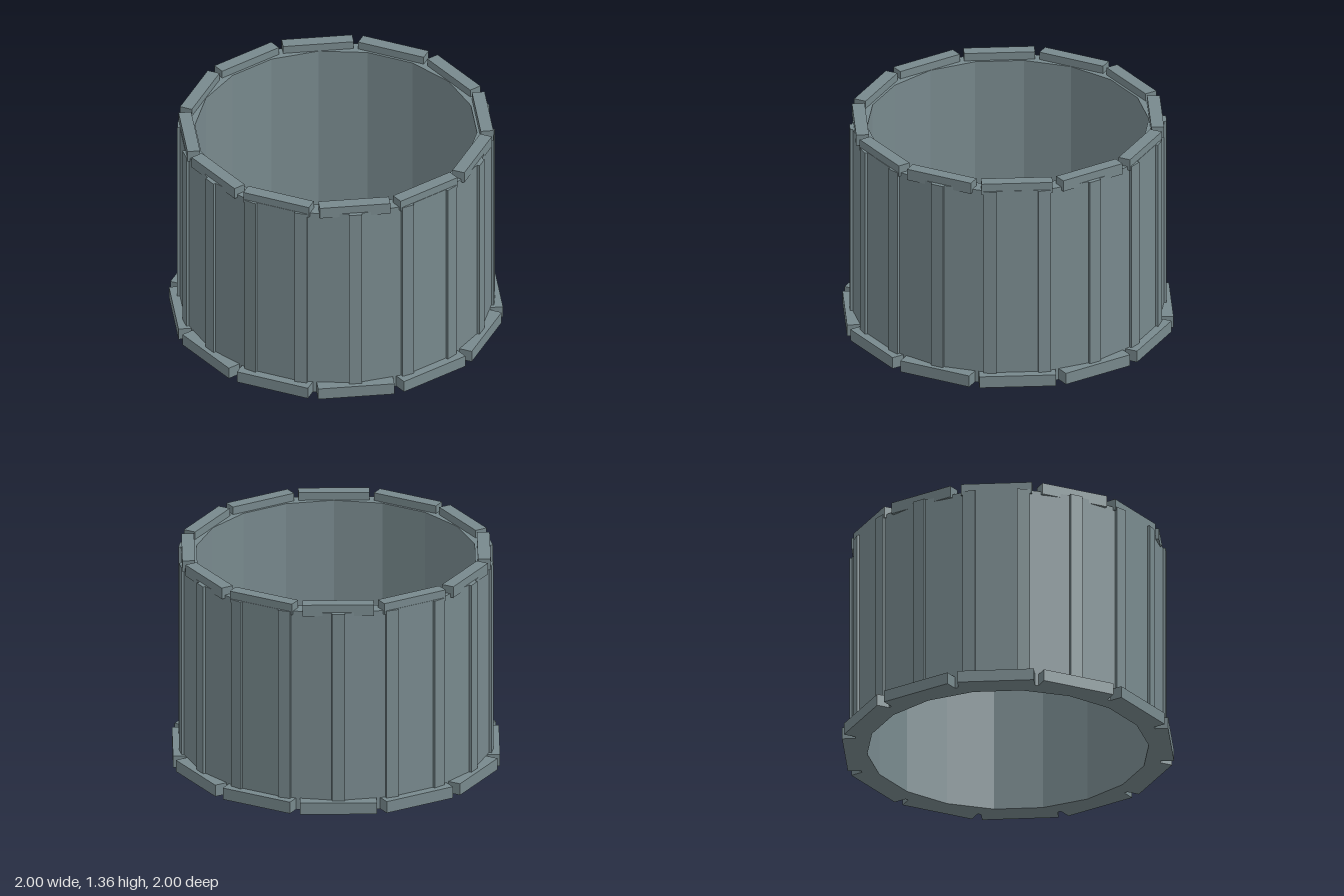
import * as THREE from 'three';

export function createModel() {
  const model = new THREE.Group();
  const steel = new THREE.MeshStandardMaterial({ color: 0x78898d });
  steel.name = 'blue grey steel';

  // Eighteen-sided tube wall with a flat rib on every outer corner
  const sides = 18, inner = 0.863, outer = 0.96, ribFace = 0.97, ribHalf = 0.04;
  const ribFoot = outer - ribHalf * Math.tan(Math.PI / sides);
  const outline = [], hole = [];
  const place = (a, r, t) => new THREE.Vector2(
    r * Math.sin(a) + t * Math.cos(a), r * Math.cos(a) - t * Math.sin(a));
  for (let i = 0; i < sides; i++) {
    const a = (i / sides) * Math.PI * 2;
    outline.push(
      place(a, ribFoot, -ribHalf), place(a, ribFace, -ribHalf),
      place(a, ribFace, ribHalf), place(a, ribFoot, ribHalf));
    // The hole runs the opposite way round so the inside faces the axis
    hole.push(place(-a, inner, 0));
  }
  const section = new THREE.Shape(outline);
  section.holes.push(new THREE.Path(hole));
  const wallGeometry = new THREE.ExtrudeGeometry(section, { depth: 1.31, bevelEnabled: false });
  wallGeometry.rotateX(-Math.PI / 2);
  const wall = new THREE.Mesh(wallGeometry, steel);
  wall.name = 'ribbedWall';
  model.add(wall);

  // Rings of twelve straight blocks around the foot and the rim
  function blockRing(name, width, rIn, rOut, yLow, yHigh) {
    const ring = new THREE.Group();
    ring.name = name;
    const geometry = new THREE.BoxGeometry(width, yHigh - yLow, rOut - rIn);
    geometry.translate(0, (yLow + yHigh) / 2, (rIn + rOut) / 2);
    for (let i = 0; i < 12; i++) {
      const block = new THREE.Mesh(geometry, steel);
      block.name = name + 'Block';
      block.rotation.y = (i * Math.PI) / 6;
      ring.add(block);
    }
    model.add(ring);
  }
  blockRing('foot', 0.47, 0.87, 1, 0, 0.075);
  blockRing('rim', 0.435, 0.865, 0.943, 1.287, 1.36);

  return model;
}
